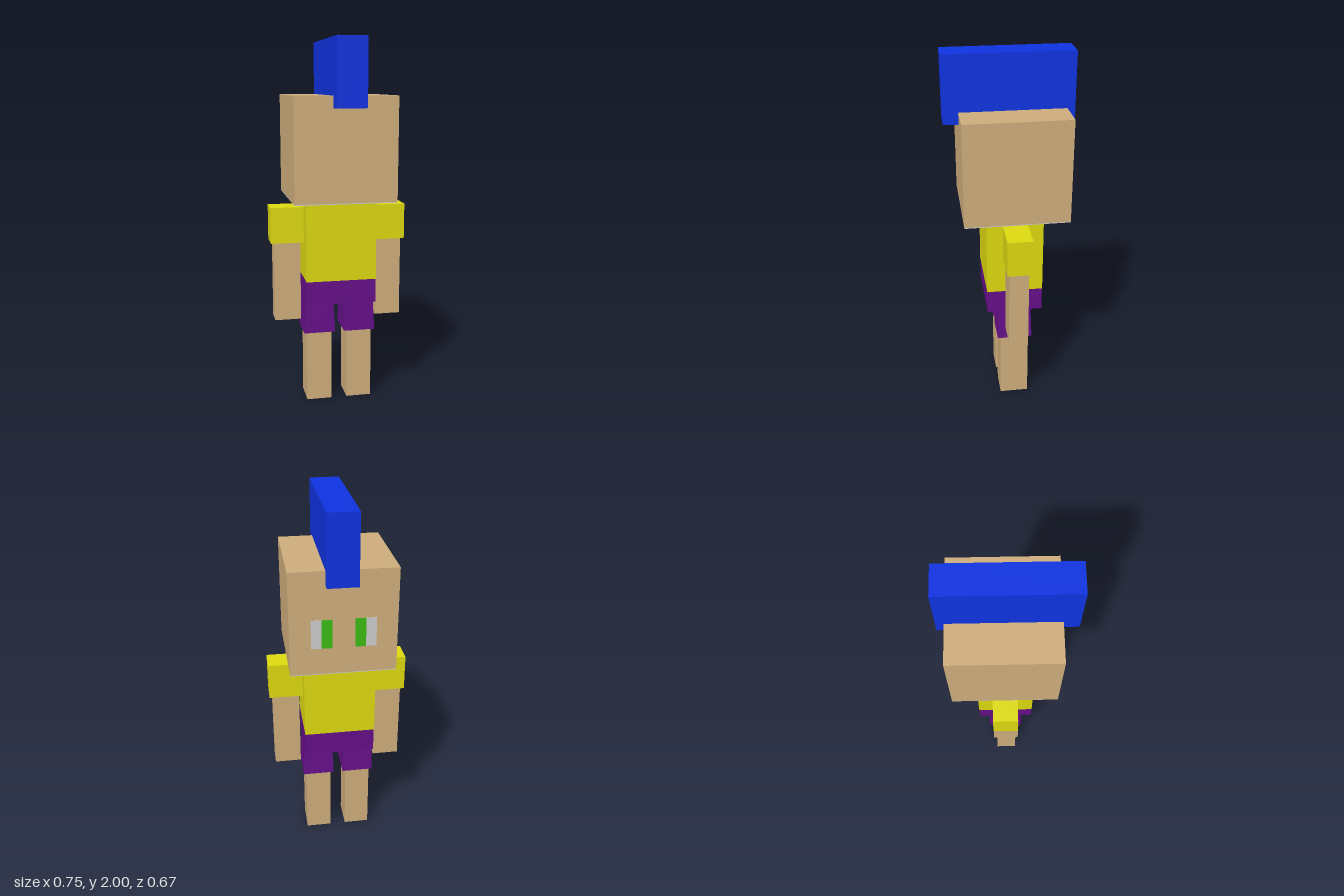
import * as THREE from 'three';

const mat = (color) => new THREE.MeshStandardMaterial({ color, flatShading: true });

export function createModel() {
  const model = new THREE.Group();
  model.name = 'blockFigure';

  const skin = mat(0xcdac7b);
  const shirt = mat(0xdcd810);
  const shorts = mat(0x640f86);
  const hair = mat(0x0f32df);
  const green = mat(0x3cb814);
  const grey = mat(0xcccccc);

  // Box given by its [min, max] on each axis; flare widens the bottom in x and z
  function block(name, material, [x0, x1], [y0, y1], [z0, z1], flare = 0) {
    const geometry = new THREE.BoxGeometry(x1 - x0, y1 - y0, z1 - z0);
    if (flare) {
      const p = geometry.attributes.position;
      for (let i = 0; i < p.count; i++) {
        if (p.getY(i) > 0) continue;
        p.setX(i, p.getX(i) + Math.sign(p.getX(i)) * flare);
        p.setZ(i, p.getZ(i) + Math.sign(p.getZ(i)) * flare);
      }
      geometry.computeVertexNormals();
    }
    const mesh = new THREE.Mesh(geometry, material);
    mesh.name = name;
    mesh.position.set((x0 + x1) / 2, (y0 + y1) / 2, (z0 + z1) / 2);
    model.add(mesh);
    return mesh;
  }

  // Head with its grey underside
  block('head', skin, [-0.275, 0.272], [1.16, 1.71], [-0.296, 0.257]);
  block('headUnderside', grey, [-0.274, 0.271], [1.155, 1.161], [-0.295, 0.256]);

  // Crest of hair, dipping slightly towards the back
  const crest = block('hairCrest', hair, [-0.07, 0.088], [1.642, 2], [-0.336, 0.336]);
  const p = crest.geometry.attributes.position;
  for (let i = 0; i < p.count; i++) {
    if (p.getY(i) < 0) p.setY(i, p.getY(i) + Math.sign(p.getZ(i)) * 0.007);
  }
  crest.geometry.computeVertexNormals();

  // Torso and hips
  block('torso', shirt, [-0.196, 0.19], [0.712, 1.157], [-0.17, 0.136]);
  block('hips', shorts, [-0.194, 0.189], [0.58, 0.712], [-0.169, 0.135]);

  // Paired parts, mirrored about the body's centre line
  const centre = -0.002;
  for (const [side, s] of [['left', 1], ['right', -1]]) {
    const span = (a, b) => (s > 0 ? [centre + a, centre + b] : [centre - b, centre - a]);

    block(side + 'Sleeve', shirt, span(0.19, 0.375), [0.915, 1.112], [-0.085, 0.048]);
    block(side + 'Arm', skin, span(0.212, 0.357), [0.476, 0.93], [-0.068, 0.037]);
    block(side + 'ShortsLeg', shorts, span(0.034, 0.192), [0.402, 0.585], [-0.106, 0.072], 0.008);
    block(side + 'Leg', skin, span(0.044, 0.184), [0, 0.42], [-0.096, 0.064]);

    // Eyes: grey outer half, green inner half
    block(side + 'EyeWhite', grey, span(0.112, 0.165), [1.303, 1.457], [-0.299, -0.29]);
    block(side + 'Iris', green, span(0.058, 0.112), [1.303, 1.457], [-0.299, -0.29]);
  }

  return model;
}
